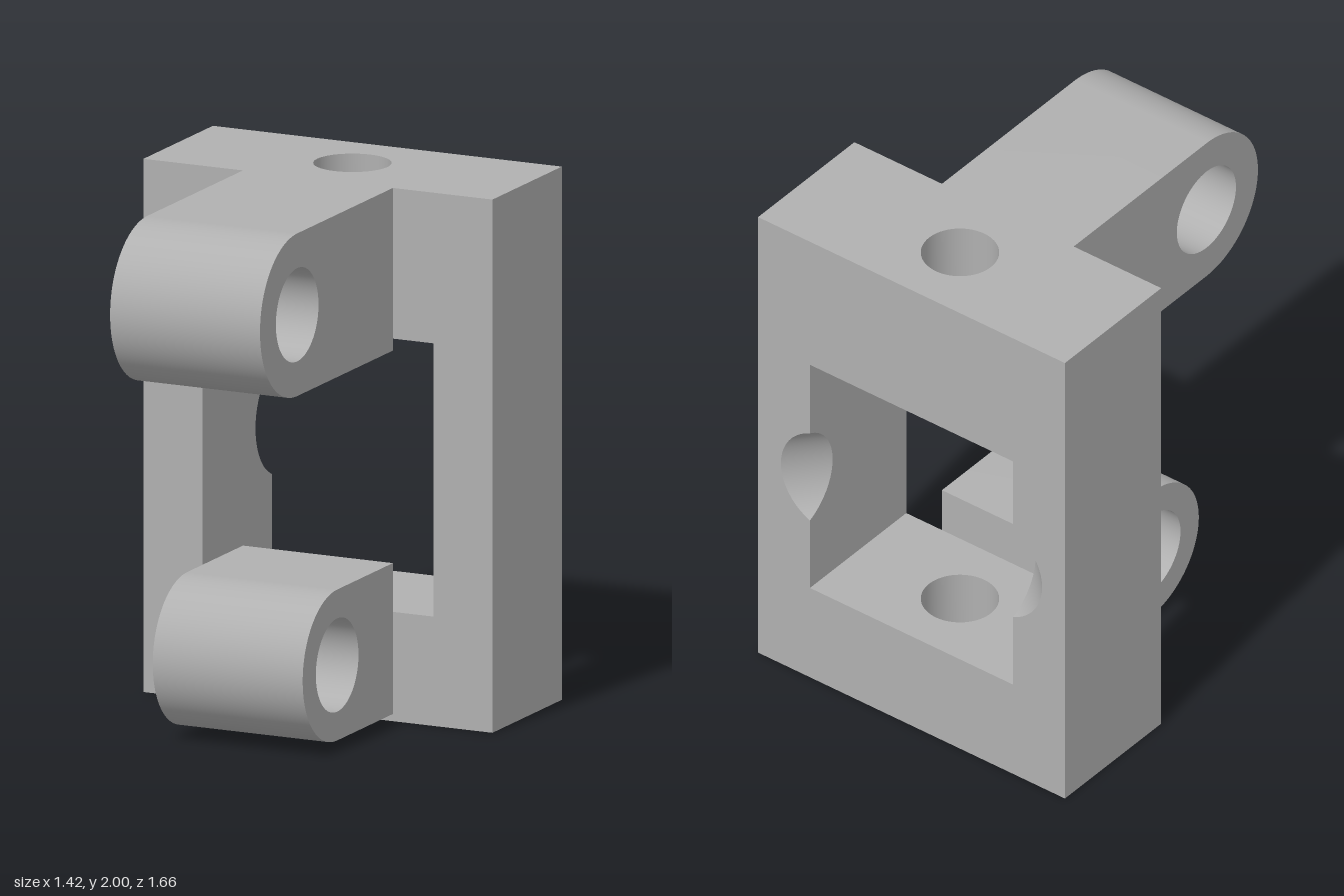
import * as THREE from 'three';
import { toCreasedNormals } from 'three/addons/utils/BufferGeometryUtils.js';

const W = 0.71, WIN = 0.47, BACK = -0.83, FRONT = -0.26;
const WIN_LOW = 0.41, WIN_HIGH = 1.435;

function addHole(shape, x, y, r) {
  const hole = new THREE.Path();
  hole.absarc(x, y, r, 0, Math.PI * 2, true);
  shape.holes.push(hole);
}

function extrude(shape, depth) {
  return new THREE.ExtrudeGeometry(shape, { depth, bevelEnabled: false, curveSegments: 32 });
}

// Horizontal rail with a vertical bore
function railGeometry(y0, y1) {
  const s = new THREE.Shape();
  s.moveTo(-W, -FRONT);
  s.lineTo(W, -FRONT);
  s.lineTo(W, -BACK);
  s.lineTo(-W, -BACK);
  s.closePath();
  addHole(s, 0, 0.543, 0.143);
  const g = extrude(s, y1 - y0);
  g.rotateX(-Math.PI / 2);
  g.translate(0, y0, 0);
  return toCreasedNormals(g, 0.6);
}

// Upright post whose rear inner edge has a rounded notch
function postGeometry(side) {
  const mid = 0.92, half = 0.2, r = 0.216, n = 24;
  const levels = [[WIN_LOW, 0]];
  for (let i = 0; i <= n; i++) {
    const d = -half * Math.cos((Math.PI * i) / n);
    const cut = Math.sqrt(r * r - d * d) - Math.sqrt(r * r - half * half);
    levels.push([mid + d, Math.max(cut, 0)]);
  }
  levels.push([WIN_HIGH, 0]);

  const section = (cut) => {
    const p = [[W, FRONT], [W, BACK], [WIN + cut, BACK], [WIN, BACK + cut], [WIN, FRONT]]
      .map(([x, z]) => [x * side, z]);
    return side > 0 ? p : p.reverse();
  };
  const pos = [];
  for (let k = 0; k < levels.length - 1; k++) {
    const [y0, c0] = levels[k], [y1, c1] = levels[k + 1];
    const lo = section(c0), hi = section(c1);
    for (let i = 0; i < 5; i++) {
      const j = (i + 1) % 5;
      const a = [lo[i][0], y0, lo[i][1]], b = [lo[j][0], y0, lo[j][1]];
      const c = [hi[j][0], y1, hi[j][1]], d = [hi[i][0], y1, hi[i][1]];
      pos.push(...a, ...b, ...c, ...a, ...c, ...d);
    }
  }
  const g = new THREE.BufferGeometry();
  g.setAttribute('position', new THREE.Float32BufferAttribute(pos, 3));
  return toCreasedNormals(g, 0.5);
}

// Round-ended lug with a cross bore
function lugGeometry(z, y, r, bore) {
  const s = new THREE.Shape();
  s.moveTo(FRONT, y - r);
  s.lineTo(z, y - r);
  s.absarc(z, y, r, -Math.PI / 2, Math.PI / 2, false);
  s.lineTo(FRONT, y + r);
  s.closePath();
  addHole(s, z, y, bore);
  const g = extrude(s, 0.61);
  g.translate(0, 0, -0.305);
  g.rotateY(-Math.PI / 2);
  return toCreasedNormals(g, 0.6);
}

export function createModel() {
  const model = new THREE.Group();
  model.name = 'hingeBracket';
  const grey = new THREE.MeshStandardMaterial({ color: 0xb0b0b0 });
  grey.name = 'plain grey';
  const add = (name, geometry) => {
    const mesh = new THREE.Mesh(geometry, grey);
    mesh.name = name;
    model.add(mesh);
  };

  // Frame
  add('bottomRail', railGeometry(0, WIN_LOW));
  add('topRail', railGeometry(WIN_HIGH, 2));
  add('leftPost', postGeometry(1));
  add('rightPost', postGeometry(-1));

  // Lugs
  add('upperLug', lugGeometry(0.525, 1.695, 0.305, 0.175));
  add('lowerLug', lugGeometry(0.197, 0.31, 0.283, 0.175));
  return model;
}
